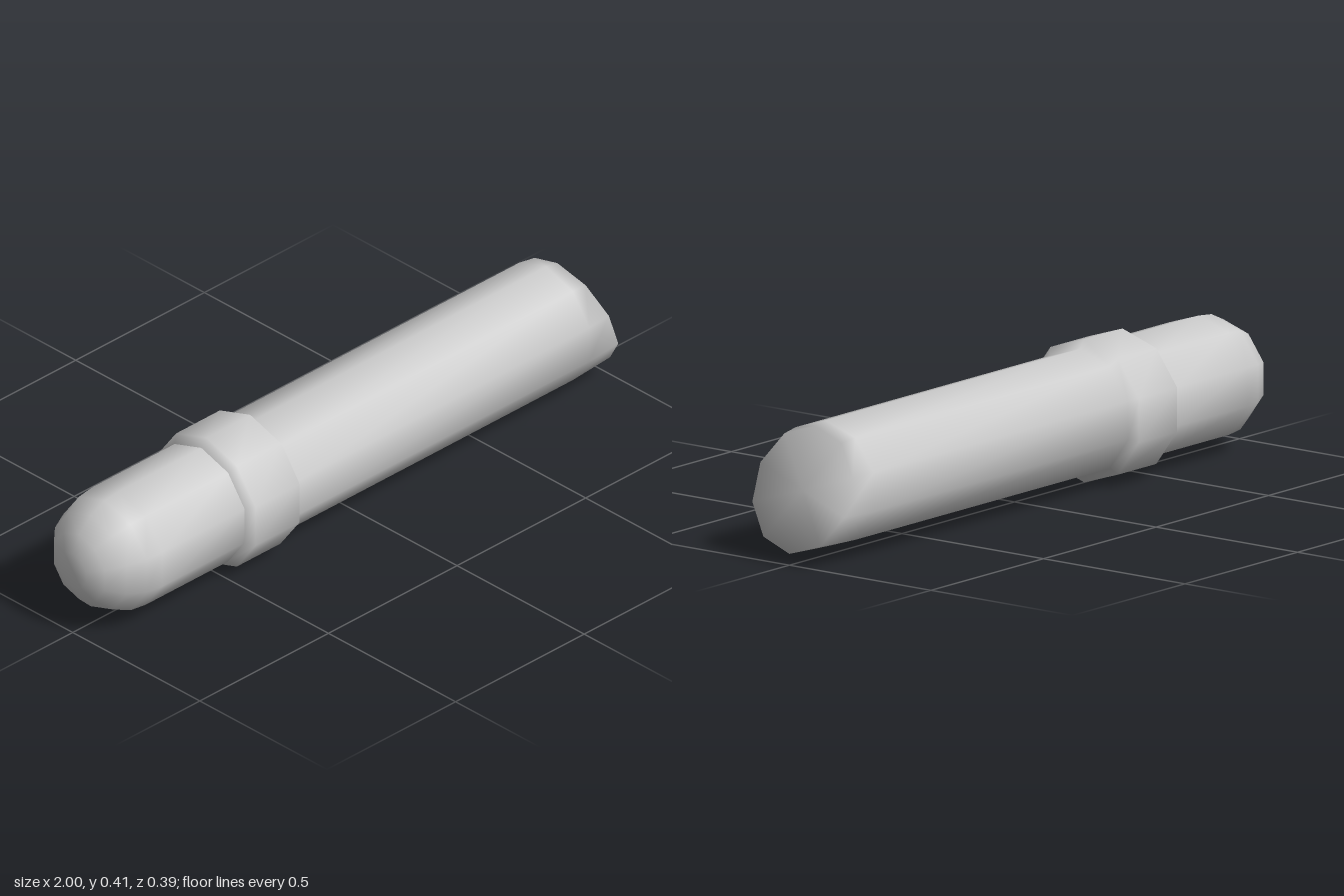
import * as THREE from 'three';
import { mergeVertices } from 'three/addons/utils/BufferGeometryUtils.js';

const SIDES = 10;

// Revolve [x, radius] points about the x axis, with a corner pointing up
function turned(name, profile, reshape) {
  const points = profile.map(([x, r]) => new THREE.Vector2(r, x));
  let geometry = new THREE.LatheGeometry(points, SIDES, Math.PI / 2);
  geometry.rotateZ(-Math.PI / 2);
  if (reshape) reshape(geometry.attributes.position);

  // Weld the seam so the shading runs smoothly all round
  geometry.deleteAttribute('uv');
  geometry.deleteAttribute('normal');
  geometry = mergeVertices(geometry, 1e-4);
  geometry.computeVertexNormals();

  const mesh = new THREE.Mesh(geometry, new THREE.MeshStandardMaterial({ color: 0xcccccc }));
  mesh.name = name;
  return mesh;
}

// Lean the end face so that its lower edge reaches furthest
function slantEnd(position) {
  for (let i = 0; i < position.count; i++) {
    if (position.getX(i) > 0.9) position.setX(i, 0.942 - 0.34 * position.getY(i));
  }
}

export function createModel() {
  const group = new THREE.Group();
  group.name = 'capsuleTube';

  // Rounded rear end, up to the collar
  group.add(turned('roundedEnd', [
    [-1, 0], [-1, 0.055], [-0.975, 0.105], [-0.93, 0.148],
    [-0.875, 0.173], [-0.82, 0.179], [-0.5, 0.179],
  ]));

  // Raised collar, long barrel and slanted end face
  group.add(turned('collarAndBarrel', [
    [-0.5, 0.179], [-0.48, 0.203], [-0.31, 0.203], [-0.29, 0.179],
    [0.84, 0.179], [0.942, 0.171], [0.942, 0],
  ], slantEnd));

  group.position.y = 0.203;
  return group;
}
